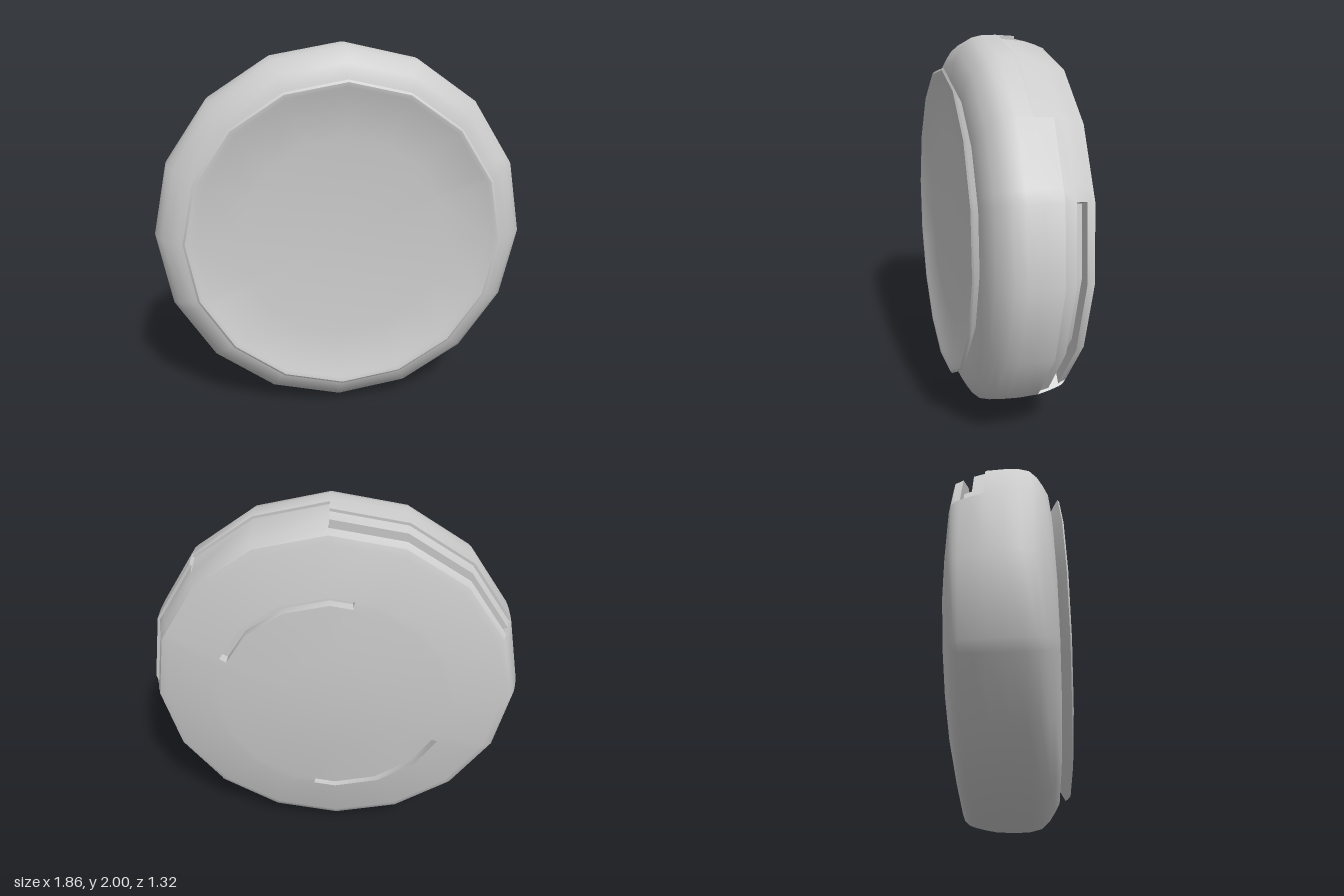
import * as THREE from 'three';
import { toCreasedNormals } from 'three/addons/utils/BufferGeometryUtils.js';

const SIDES = 16;
const STEP = 360 / SIDES;

// Radial section from the back centre round the rim to the front centre.
// Every section has the same number of points, so sections can be stitched.
function section({ backSlot = false, sideSlot = false, edge = -0.08, recess = 0 }) {
  const sink = backSlot ? 0.05 : 0;
  const cut = sideSlot ? 0.07 : 0;
  return [
    // domed back with arc slot
    [0, -0.335], [0.3, -0.327], [0.6, -0.302], [0.6, -0.302 + sink],
    [0.64, -0.297 + sink], [0.64, -0.297], [0.9, -0.25], [0.935, -0.238],
    // side with long slot and recessed band
    [0.957 - recess, -0.215], [0.966 - recess, -0.195], [0.966 - recess - cut, -0.195],
    [0.982 - recess - cut, -0.14], [0.982 - recess, -0.14],
    [0.995 - recess, edge], [0.995, edge], [1, 0.02],
    // rounded front shoulder and undercut
    [0.998, 0.09], [0.985, 0.145], [0.95, 0.185], [0.91, 0.212], [0.86, 0.24], [0.76, 0.25],
    // flared lip and shallow dish
    [0.834, 0.29], [0.822, 0.298], [0.8, 0.295], [0.775, 0.284], [0.54, 0.255], [0, 0.246],
  ];
}

// Keeps in-between angles on the straight sides of the polygon
function chord(angle) {
  const off = ((angle % STEP) + STEP) % STEP - STEP / 2;
  const rad = THREE.MathUtils.degToRad;
  return Math.cos(rad(STEP / 2)) / Math.cos(rad(off));
}

function within(a, from, to) {
  return a > from && a < to;
}

function sectionAt(a) {
  const band = within(a, -45, 157.5);
  return section({
    backSlot: within(a, 26, 101) || within(a, 206, 281),
    sideSlot: within(a, -45, 22.5) || within(a, 90, 157.5),
    edge: within(a, 45, 90) ? 0 : -0.08,
    recess: band ? 0.014 : 0,
  });
}

function discGeometry() {
  const angles = [26, 101, 206, 281];
  for (let i = 0; i <= SIDES; i++) angles.push(-45 + i * STEP);
  angles.sort((a, b) => a - b);

  // Two columns per sector; coincident columns close the ends of the slots
  const columns = [];
  for (let i = 0; i < angles.length - 1; i++) {
    const profile = sectionAt((angles[i] + angles[i + 1]) / 2);
    for (const angle of [angles[i], angles[i + 1]]) {
      const t = THREE.MathUtils.degToRad(angle);
      const k = chord(angle);
      columns.push(profile.map(([r, w]) =>
        new THREE.Vector3(r * k * Math.cos(t), r * k * Math.sin(t), w)));
    }
  }
  columns.push(columns[0]);

  const positions = [];
  const triangle = (a, b, c) => {
    const area = b.clone().sub(a).cross(c.clone().sub(a)).length();
    if (area > 1e-7) for (const p of [a, b, c]) positions.push(p.x, p.y, p.z);
  };
  for (let i = 0; i < columns.length - 1; i++) {
    const p = columns[i], q = columns[i + 1];
    for (let j = 0; j < p.length - 1; j++) {
      triangle(p[j], q[j], q[j + 1]);
      triangle(p[j], q[j + 1], p[j + 1]);
    }
  }
  const geometry = new THREE.BufferGeometry();
  geometry.setAttribute('position', new THREE.Float32BufferAttribute(positions, 3));
  return toCreasedNormals(geometry, 0.6);
}

export function createModel() {
  const group = new THREE.Group();
  group.name = 'roundCase';
  const material = new THREE.MeshStandardMaterial({ color: 0xcccccc, side: THREE.DoubleSide });
  const disc = new THREE.Mesh(discGeometry(), material);
  disc.name = 'discBody';
  // Upright, turned to one side with a slight lean and roll
  disc.rotation.set(-0.024, -0.507, -0.02, 'YXZ');
  disc.position.set(0, 1, 0);
  group.add(disc);
  return group;
}
